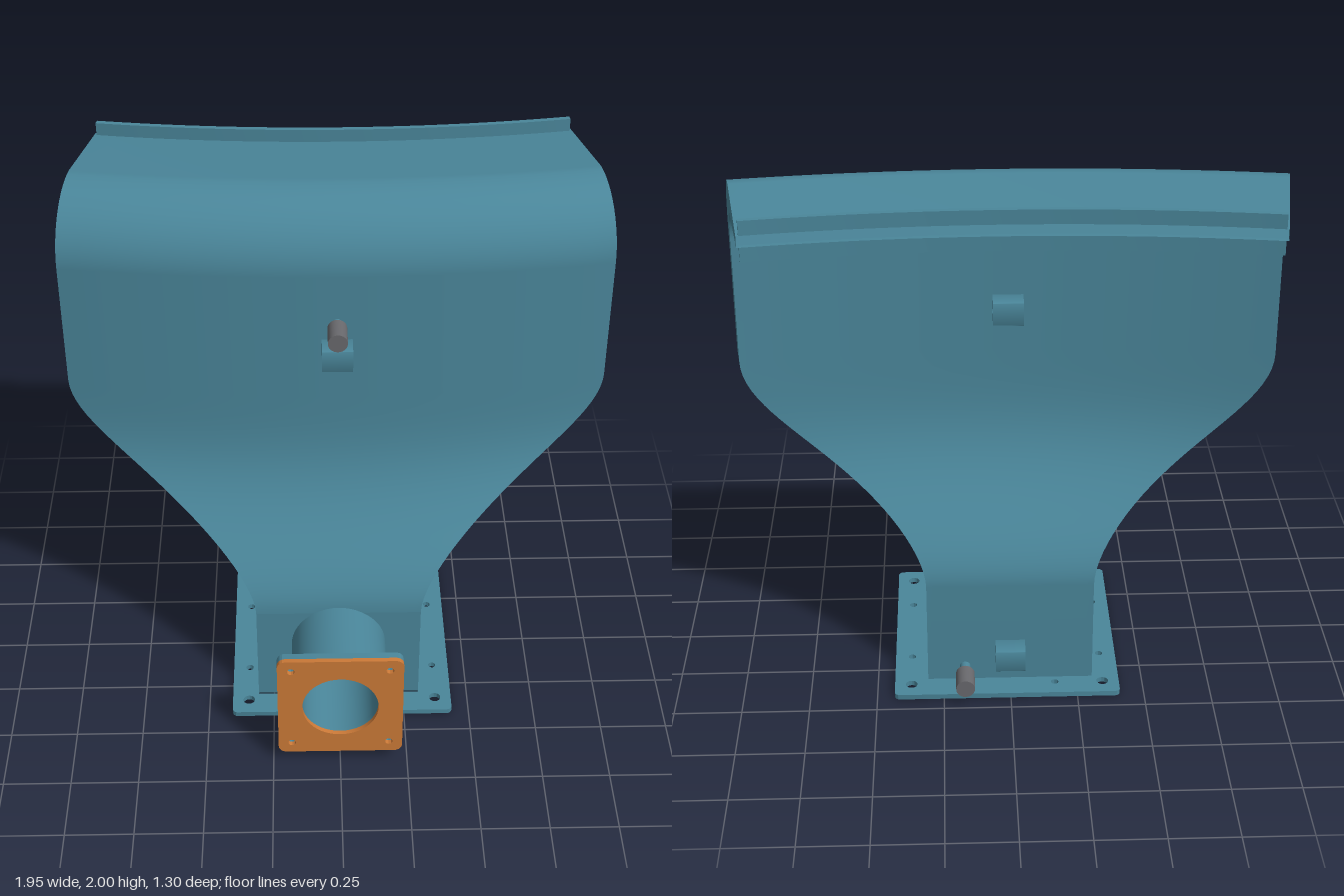
import * as THREE from 'three';
import { toCreasedNormals } from 'three/addons/utils/BufferGeometryUtils.js';

const AXIS = 5.96; // distance behind the centre of the axis the upper duct bends around
const paint = new THREE.MeshStandardMaterial({ color: 0x4a869a, side: THREE.DoubleSide });
paint.name = 'teal paint';
const gasketOrange = new THREE.MeshStandardMaterial({ color: 0xcc7a38 });
gasketOrange.name = 'gasket orange';
const steel = new THREE.MeshStandardMaterial({ color: 0x69696d });
steel.name = 'grey steel';

const smooth = (t) => t * t * (3 - 2 * t);
const mix = (a, b, t) => a + (b - a) * t;

function add(parent, name, geometry, material, x = 0, y = 0, z = 0) {
  const mesh = new THREE.Mesh(geometry, material);
  mesh.name = name;
  mesh.position.set(x, y, z);
  parent.add(mesh);
  return mesh;
}

// Surface from rows of points, smooth across
function grid(rows, cols, point) {
  const pos = [], index = [];
  for (let i = 0; i < rows; i++)
    for (let j = 0; j < cols; j++) {
      pos.push(...point(i, j));
      if (i && j) {
        const a = (i - 1) * cols + j - 1, b = a + 1, c = a + cols, d = c + 1;
        index.push(a, b, d, a, d, c);
      }
    }
  const g = new THREE.BufferGeometry();
  g.setAttribute('position', new THREE.Float32BufferAttribute(pos, 3));
  g.setIndex(index);
  g.computeVertexNormals();
  return g;
}

function roundedRect(w, h, r) {
  const s = new THREE.Shape(), x = w / 2, y = h / 2;
  s.absarc(x - r, y - r, r, 0, Math.PI / 2);
  s.absarc(-x + r, y - r, r, Math.PI / 2, Math.PI);
  s.absarc(-x + r, -y + r, r, Math.PI, Math.PI * 1.5);
  s.absarc(x - r, -y + r, r, Math.PI * 1.5, Math.PI * 2);
  s.closePath();
  return s;
}

function hole(shape, x, y, r) {
  shape.holes.push(new THREE.Path().absarc(x, y, r, 0, Math.PI * 2, true));
}

function rectHole(shape, x0, x1, y0, y1) {
  shape.holes.push(new THREE.Path([[x0, y0], [x0, y1], [x1, y1], [x1, y0]].map((p) => new THREE.Vector2(...p))));
}

function extrude(shape, depth, curveSegments = 24) {
  return toCreasedNormals(new THREE.ExtrudeGeometry(shape, { depth, bevelEnabled: false, curveSegments }), 0.6);
}

// Duct sections from base to outlet: front and back centre points, half width, bend amount
function ductSections() {
  const list = [{ f: [0.31, 0.02], b: [-0.34, 0.02], w: 0.31, k: 0 }];
  for (let i = 0; i <= 28; i++) {
    const t = i / 28, y = mix(0.43, 1.27, t), k = smooth(Math.sin((t * Math.PI) / 2));
    list.push({ f: [mix(0.31, 0.04, k), y], b: [mix(-0.34, -0.07, k), y], w: mix(0.31, 0.97, smooth(t)), k });
  }
  for (let i = 0; i <= 16; i++) {
    const a = (i / 16) * Math.PI / 2, c = Math.cos(a), s = Math.sin(a);
    list.push({ f: [-0.21 + 0.25 * c, 1.74 + 0.25 * s], b: [-0.21 + 0.14 * c, 1.74 + 0.14 * s], w: 0.97, k: 1 });
  }
  list.push({ f: [-0.58, 1.95], b: [-0.58, 1.91], w: 0.97, k: 1 });
  return list;
}

function ductPoint(s, [z, y], u) {
  const x = s.w * u * (1 + (s.k * z) / 6);
  return [x, y, z - (s.k * x * x) / (2 * (6 + z))];
}

function buildDuct(root) {
  const duct = new THREE.Group();
  duct.name = 'duct';
  root.add(duct);
  const all = ductSections(), upper = all.slice(1), n = 25;
  const u = (j) => (j / (n - 1)) * 2 - 1;
  add(duct, 'frontWall', grid(upper.length, n, (i, j) => ductPoint(upper[i], upper[i].f, u(j))), paint);
  add(duct, 'backWall', grid(all.length, n, (i, j) => ductPoint(all[i], all[i].b, -u(j))), paint);
  for (const side of [1, -1])
    add(duct, side > 0 ? 'leftWall' : 'rightWall', grid(all.length, 2, (i, j) =>
      ductPoint(all[i], (side > 0) === (j === 0) ? all[i].f : all[i].b, side)), paint);

  // Lower front wall with the inlet opening
  const lower = new THREE.Shape([[-0.31, 0.02], [0.31, 0.02], [0.31, 0.43], [-0.31, 0.43]].map((p) => new THREE.Vector2(...p)));
  hole(lower, 0, 0.277, 0.14);
  add(duct, 'lowerFrontWall', new THREE.ShapeGeometry(lower, 32), paint, 0, 0, 0.31);
}

function buildInlet(root) {
  const inlet = new THREE.Group();
  inlet.name = 'inletPipe';
  inlet.position.y = 0.277;
  root.add(inlet);
  for (const [name, r] of [['pipeOuter', 0.178], ['pipeInner', 0.14]])
    add(inlet, name, new THREE.CylinderGeometry(r, r, 0.31, 48, 1, true).rotateX(Math.PI / 2), paint, 0, 0, 0.46);
  const plate = roundedRect(0.46, 0.455, 0.03);
  hole(plate, 0, 0, 0.14);
  for (const x of [-0.18, 0.18]) for (const y of [-0.18, 0.18]) hole(plate, x, y, 0.014);
  add(inlet, 'inletFlange', extrude(plate, 0.027), paint, 0, 0, 0.608);
  add(inlet, 'inletGasket', extrude(plate, 0.018), gasketOrange, 0, 0, 0.635);
}

function buildBase(root) {
  const plate = roundedRect(0.845, 0.855, 0.02);
  rectHole(plate, -0.3225, 0.2975, -0.3275, 0.3225);
  const at = [-0.36, -0.18, 0.18, 0.36];
  for (const x of at) for (const y of at) {
    const edges = (Math.abs(x) > 0.3) + (Math.abs(y) > 0.3);
    if (edges) hole(plate, x, y, edges === 2 ? 0.022 : 0.014);
  }
  add(root, 'baseFlange', extrude(plate, 0.02).rotateX(-Math.PI / 2), paint, 0.0125, 0, -0.0125);
}

// Two curved lips above and below the outlet slot
function buildOutlet(root) {
  const a = 0.162, s = new THREE.Shape();
  s.absarc(0, 0, 5.4, Math.PI / 2 - a, Math.PI / 2 + a, false);
  s.absarc(0, 0, 5.38, Math.PI / 2 + a, Math.PI / 2 - a, true);
  s.closePath();
  for (const [name, top] of [['upperOutletLip', 2], ['lowerOutletLip', 1.91]])
    add(root, name, extrude(s, 0.05).rotateX(Math.PI / 2), paint, 0, top, -AXIS);
}

// Drilled lug, and a plug on a short neck; dir is +1 for front, -1 for back
function addLug(root, name, y, z, dir) {
  const s = roundedRect(0.085, 0.085, 0.001);
  hole(s, 0, 0, 0.013);
  add(root, name, extrude(s, 0.11).rotateY(Math.PI / 2), paint, -0.055, y, z + dir * 0.038);
}

function addPlug(root, name, x, y, z, dir) {
  const g = new THREE.Group();
  g.name = name;
  g.position.set(x, y, z);
  root.add(g);
  const rod = (r, l) => new THREE.CylinderGeometry(r, r, l, 24).rotateX(Math.PI / 2);
  add(g, 'plugNeck', rod(0.02, 0.06), paint, 0, 0, dir * 0.02);
  add(g, 'plugCap', rod(0.035, 0.1), steel, 0, 0, dir * 0.098);
}

export function createModel() {
  const root = new THREE.Group();
  root.name = 'ductHood';
  buildDuct(root);
  buildInlet(root);
  buildBase(root);
  buildOutlet(root);
  addLug(root, 'frontLug', 1.442, 0.04, 1);
  addLug(root, 'upperBackLug', 1.442, -0.07, -1);
  addLug(root, 'lowerBackLug', 0.148, -0.34, -1);
  addPlug(root, 'frontPlug', 0, 1.55, 0.02, 1);
  addPlug(root, 'backPlug', 0.17, 0.076, -0.34, -1);
  return root;
}
